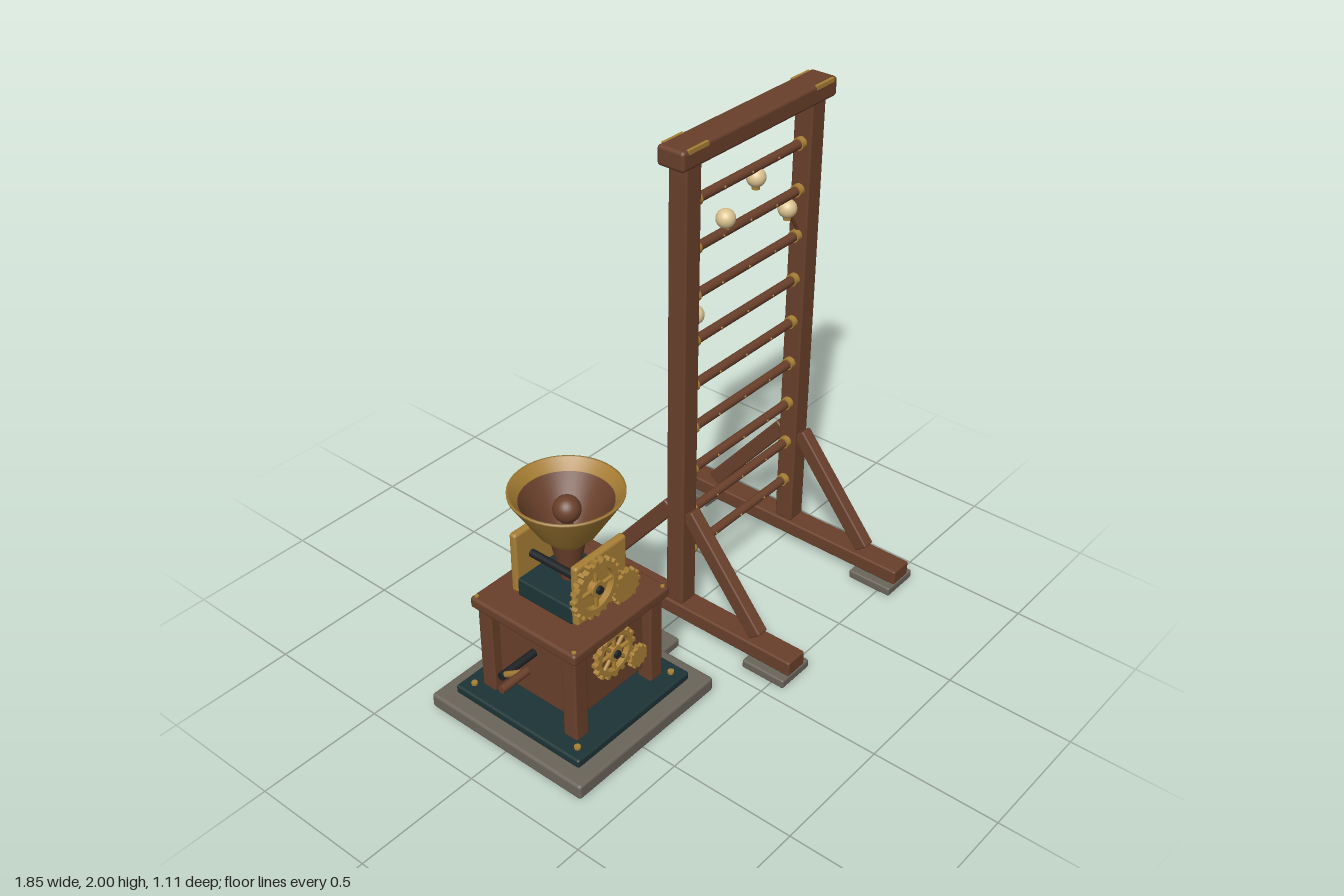
import * as THREE from 'three';
import { RoundedBoxGeometry } from 'three/addons/geometries/RoundedBoxGeometry.js';

const mat = (name, color, side = THREE.FrontSide) => {
  const m = new THREE.MeshStandardMaterial({ color, side });
  m.name = name;
  return m;
};

export function createModel() {
  const wood = mat('brown wood', 0x6a402b);
  const brass = mat('brass', 0xa87f35);
  const stone = mat('grey stone', 0x6b655b);
  const teal = mat('dark teal iron', 0x1d3436);
  const iron = mat('black iron', 0x1e2225);
  const cream = mat('cream glass', 0xdcc491);
  const root = new THREE.Group();
  root.name = 'millAndRack';

  const group = (name, parent = root) => {
    const g = new THREE.Group();
    g.name = name;
    parent.add(g);
    return g;
  };
  const add = (parent, name, geo, m, x = 0, y = 0, z = 0) => {
    const mesh = new THREE.Mesh(geo, m);
    mesh.name = name;
    mesh.position.set(x, y, z);
    parent.add(mesh);
    return mesh;
  };
  // Box with softened edges, given by its limits
  const block = (parent, name, m, x0, x1, y0, y1, z0, z1, r = 0.008) =>
    add(parent, name, new RoundedBoxGeometry(x1 - x0, y1 - y0, z1 - z0, 2, r), m,
      (x0 + x1) / 2, (y0 + y1) / 2, (z0 + z1) / 2);
  // Round or square bar between two points
  const bar = (parent, name, m, a, b, r, r2 = r, sides = 16) => {
    const p = new THREE.Vector3(...a), q = new THREE.Vector3(...b);
    const mesh = add(parent, name, new THREE.CylinderGeometry(r2, r, p.distanceTo(q), sides), m);
    mesh.position.copy(p).add(q).multiplyScalar(0.5);
    mesh.quaternion.setFromUnitVectors(new THREE.Vector3(0, 1, 0), q.sub(p).normalize());
    return mesh;
  };

  // ---------- Tall rack ----------
  const rack = group('rack');
  block(rack, 'topBeam', wood, 0.06, 0.92, 1.925, 2, -0.058, 0.058, 0.014);
  for (const x of [0.14, 0.84]) {
    block(rack, 'post', wood, x - 0.04, x + 0.04, 0.1, 1.93, -0.04, 0.04);
    block(rack, 'footBeam', wood, x - 0.049, x + 0.049, 0.037, 0.1, -0.555, 0.555);
    for (const s of [-1, 1]) {
      block(rack, 'stonePad', stone, x - 0.082, x + 0.082, 0, 0.037, s * 0.46 - 0.095, s * 0.46 + 0.095);
      const brace = add(rack, 'brace', new RoundedBoxGeometry(0.052, 0.53, 0.062, 2, 0.007), wood, x, 0.318, s * 0.208);
      brace.rotation.x = -s * 0.685;
      // brass edging on the beam ends
      add(rack, 'beamStrap', new THREE.BoxGeometry(0.105, 0.016, 0.014), brass, x + (x < 0.5 ? 0 : 0.005), 1.9915, s * 0.051);
    }
  }
  for (let i = 0; i < 9; i++) {
    const y = 0.299 + i * 0.1839;
    bar(rack, 'rung', wood, [0.17, y, 0], [0.81, y, 0], 0.018);
    for (const x of [0.198, 0.787])
      bar(rack, 'rungCollar', brass, [x - 0.012, y, 0], [x + 0.012, y, 0], 0.024);
    for (const x of [0.335, 0.49, 0.64])
      add(rack, 'rungPin', new THREE.SphereGeometry(0.005, 8, 6), brass, x, y, 0.017);
  }
  // Small globes with brass sockets
  for (const [x, y] of [[0.533, 1.73], [0.365, 1.635], [0.73, 1.535], [0.2, 1.325]]) {
    add(rack, 'globe', new THREE.SphereGeometry(0.036, 24, 16), cream, x, y, 0);
    bar(rack, 'globeSocket', brass, [x, y - 0.044, 0], [x, y - 0.028, 0], 0.015);
  }
  bar(rack, 'globeStem', wood, [0.745, 1.51, 0], [0.805, 1.415, 0], 0.007);

  // ---------- Mill ----------
  const mill = group('mill');
  const C = -0.475;
  block(mill, 'baseSlab', stone, C - 0.363, C + 0.363, 0.005, 0.066, -0.363, 0.363, 0.012);
  block(mill, 'stepSlab', stone, -0.125, -0.005, 0.005, 0.045, -0.117, 0.115, 0.01);
  block(mill, 'ironPlate', teal, C - 0.3, C + 0.3, 0.064, 0.1, -0.3, 0.3, 0.01);
  block(mill, 'body', wood, C - 0.19, C + 0.19, 0.145, 0.465, -0.19, 0.19);
  block(mill, 'tableTop', wood, C - 0.248, C + 0.248, 0.46, 0.506, -0.248, 0.248, 0.012);
  for (const sx of [-1, 1]) for (const sz of [-1, 1]) {
    const x = C + sx * 0.198, z = sz * 0.198;
    block(mill, 'leg', wood, x - 0.032, x + 0.032, 0.098, 0.463, z - 0.032, z + 0.032);
    bar(mill, 'plateBolt', brass, [C + sx * 0.252, 0.098, sz * 0.252], [C + sx * 0.252, 0.11, sz * 0.252], 0.012);
    bar(mill, 'tableStud', brass, [C + sx * 0.23, 0.5, sz * 0.23], [C + sx * 0.23, 0.51, sz * 0.23], 0.008);
  }
  block(mill, 'grinderBlock', teal, C - 0.13, C + 0.13, 0.504, 0.578, -0.126, 0.126);
  for (const z of [-0.14, 0.143])
    block(mill, 'cheekPlate', brass, C - 0.132, C + 0.125, 0.512, 0.762, z - 0.016, z + 0.016, 0.012);
  bar(mill, 'upperAxle', iron, [-0.53, 0.648, -0.205], [-0.53, 0.648, 0.2], 0.015);
  bar(mill, 'lowerAxle', iron, [C, 0.34, -0.235], [C, 0.34, 0.225], 0.015);

  // Funnel: brass outside and rim, wooden lining and spindle
  const lathe = (name, m, pts) => add(mill, name,
    new THREE.LatheGeometry(pts.map(p => new THREE.Vector2(...p)), 48), m, C, 0, 0);
  lathe('hopper', brass, [[0.062, 0.735], [0.105, 0.78], [0.203, 0.938], [0.203, 0.946], [0.194, 0.946], [0.166, 0.905]]);
  lathe('hopperLining', wood, [[0.166, 0.905], [0.09, 0.785], [0.04, 0.72], [0, 0.715]]);
  bar(mill, 'hopperNeck', wood, [C, 0.575, 0], [C, 0.74, 0], 0.03, 0.064, 32);
  bar(mill, 'spindle', wood, [C, 0.71, 0], [C, 0.87, 0], 0.02);
  add(mill, 'spindleKnob', new THREE.SphereGeometry(0.05, 24, 16), wood, C, 0.865, 0);

  // Toothed wheels: inner = 0 makes a solid disc
  const gear = (name, x, y, z, r, inner, teeth, spokes, tooth, depth) => {
    const g = group(name, mill);
    g.position.set(x, y, z);
    const shape = new THREE.Shape();
    for (let i = 0; i < teeth; i++) {
      [[-0.25, r - tooth], [-0.17, r], [0.17, r], [0.25, r - tooth]].forEach(([k, rad], j) => {
        const a = (i + k) / teeth * Math.PI * 2;
        shape[i + j ? 'lineTo' : 'moveTo'](Math.cos(a) * rad, Math.sin(a) * rad);
      });
    }
    shape.closePath();
    if (inner) shape.holes.push(new THREE.Path().absarc(0, 0, inner, 0, Math.PI * 2, true));
    add(g, 'toothedRim', new THREE.ExtrudeGeometry(shape, { depth, bevelEnabled: false, curveSegments: 32 }), brass);
    for (let i = 0; i < spokes; i++) {
      const a = i / spokes * Math.PI * 2, R = inner + 0.004;
      bar(g, 'spoke', brass, [0, 0, depth / 2], [Math.cos(a) * R, Math.sin(a) * R, depth / 2], 0.008, 0.008, 10);
    }
    if (inner) {
      bar(g, 'hub', brass, [0, 0, 0], [0, 0, depth + 0.002], 0.03, 0.03, 24);
      bar(g, 'hubPin', iron, [0, 0, 0], [0, 0, depth + 0.008], 0.015);
    }
  };
  gear('upperWheel', -0.53, 0.648, 0.162, 0.117, 0.08, 20, 4, 0.014, 0.024);
  gear('upperPinion', -0.378, 0.563, 0.162, 0.07, 0, 14, 0, 0.01, 0.02);
  gear('lowerWheel', -0.476, 0.34, 0.191, 0.103, 0.072, 16, 8, 0.014, 0.022);
  gear('lowerPinion', -0.35, 0.24, 0.191, 0.047, 0, 12, 0, 0.007, 0.02);

  // Hand crank
  const crank = group('crank', mill);
  bar(crank, 'crankShaft', iron, [-0.83, 0.352, 0], [-0.66, 0.352, 0], 0.015);
  bar(crank, 'crankArm', brass, [-0.815, 0.352, 0], [-0.815, 0.425, 0.105], 0.011);
  bar(crank, 'crankHandle', wood, [-0.93, 0.425, 0.105], [-0.805, 0.425, 0.105], 0.015);
  return root;
}
